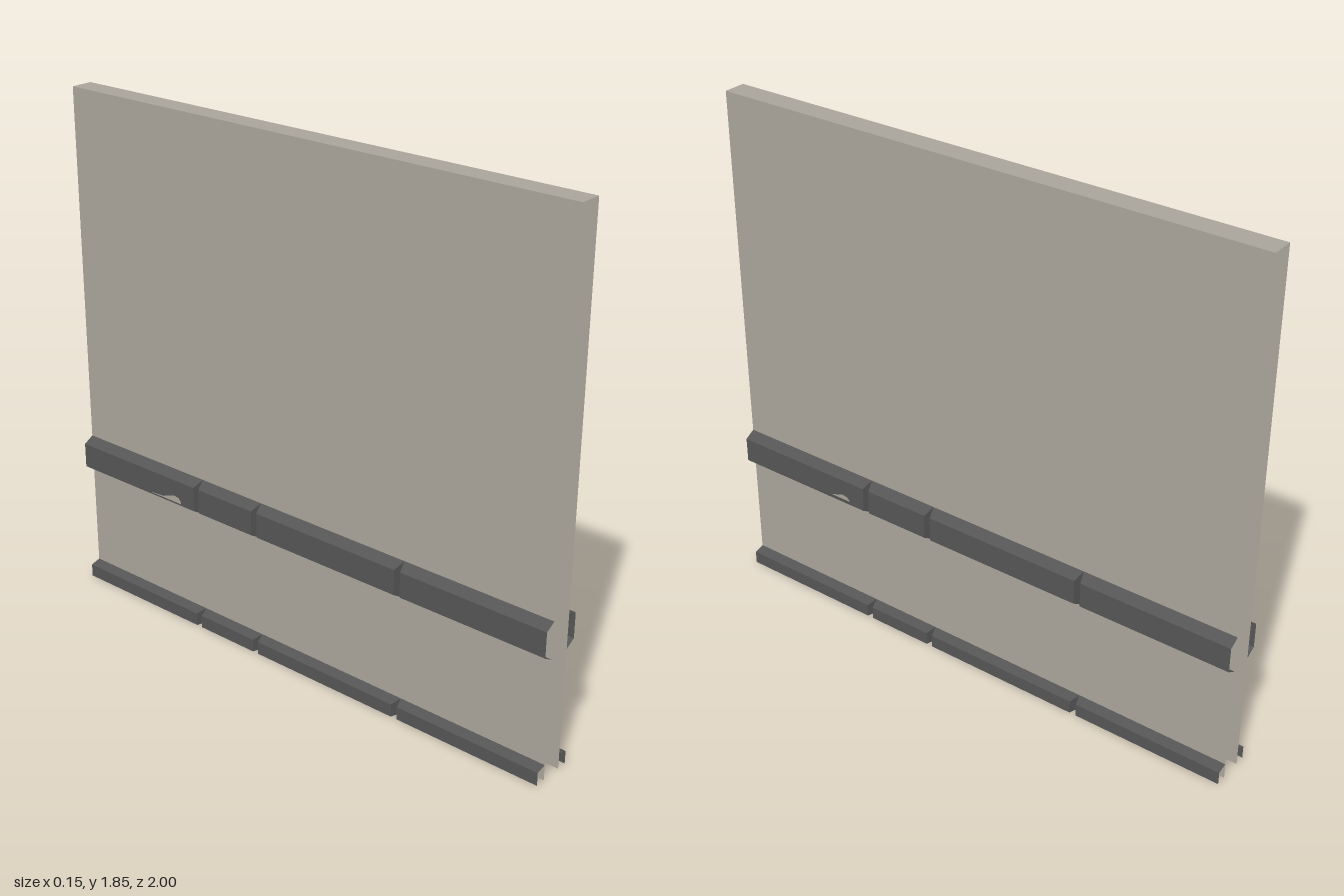
import * as THREE from 'three';

const panelMat = new THREE.MeshStandardMaterial({ name: 'beige panel', color: 0xaaa59b, side: THREE.DoubleSide });
const railMat = new THREE.MeshStandardMaterial({ name: 'dark rail', color: 0x555555, side: THREE.DoubleSide });

const HALF = 0.04, OUT = 0.077, HEIGHT = 1.85, GAP = 0.012;

// Flat-shaded geometry from convex polygons, corners counter-clockwise
function polygons(list) {
  const pos = [];
  for (const p of list) {
    for (let i = 1; i < p.length - 1; i++) pos.push(...p[0], ...p[i], ...p[i + 1]);
  }
  const g = new THREE.BufferGeometry();
  g.setAttribute('position', new THREE.Float32BufferAttribute(pos, 3));
  g.computeVertexNormals();
  return g;
}

function addMesh(parent, name, geometry, material) {
  const m = new THREE.Mesh(geometry, material);
  m.name = name;
  parent.add(m);
  return m;
}

// One hollow rail segment from z = a down to z = b; joints get slanted end faces.
// The profile runs from the inner top corner, around the outside, to the bottom.
function railSegment(parent, name, profile, a, b, chip) {
  const inset = (x) => GAP * (x - HALF) / (OUT - HALF);
  const front = ([x, y]) => [x, y, a < 1 ? a - inset(x) : a];
  const back = ([x, y]) => [x, y, b > -1 ? b + inset(x) : b];
  const faces = [];
  for (let i = 0; i < profile.length - 1; i++) {
    const p = profile[i], q = profile[i + 1];
    if (i === 1 && chip) continue;
    faces.push([front(p), front(q), back(q), back(p)]);
  }
  const ring = profile.length === 3 ? [...profile, [HALF, profile[2][1]]] : profile;
  if (a < 1) faces.push(ring.map(front).reverse());
  if (b > -1) faces.push(ring.map(back));
  addMesh(parent, name, polygons(faces), railMat);

  // Outer face with a chip broken out of its lower edge
  if (chip) {
    const [p, q] = [profile[1], profile[2]];
    const outline = [front(p), front(q)].map((c) => [c[2], c[1]])
      .concat(chip, [back(q), back(p)].map((c) => [c[2], c[1]]));
    const shape = new THREE.Shape(outline.map(([z, y]) => new THREE.Vector2(-z, y)));
    const g = new THREE.ShapeGeometry(shape).rotateY(Math.PI / 2).translate(OUT, 0, 0);
    addMesh(parent, name + 'ChippedFace', g, railMat);
  }
}

export function createModel() {
  const group = new THREE.Group();
  group.name = 'wallSection';

  // Hollow wall: two sides and a top, open at the ends and below
  const h = HALF, H = HEIGHT;
  addMesh(group, 'wallPanel', polygons([
    [[h, H, 1], [h, 0, 1], [h, 0, -1], [h, H, -1]],
    [[-h, H, -1], [-h, 0, -1], [-h, 0, 1], [-h, H, 1]],
    [[-h, H, 1], [h, H, 1], [h, H, -1], [-h, H, -1]],
  ]), panelMat);

  // Rails on both sides, turned half a revolution from each other
  const upper = [[h, 0.567], [OUT, 0.546], [OUT, 0.456], [h, 0.435]];
  const lower = [[h, 0.057], [OUT, 0.047], [OUT, 0]];
  const joints = [1, 0.44, 0.17, -0.44, -1];
  const chip = [[0.67, 0.456], [0.66, 0.463], [0.6, 0.467], [0.565, 0.48],
    [0.545, 0.486], [0.525, 0.482], [0.515, 0.472], [0.515, 0.456]];
  ['leftRails', 'rightRails'].forEach((name, side) => {
    const rails = new THREE.Group();
    rails.name = name;
    rails.rotation.y = side * Math.PI;
    for (let i = 0; i < 4; i++) {
      railSegment(rails, 'upperRail' + (i + 1), upper, joints[i], joints[i + 1], i === 0 ? chip : null);
      railSegment(rails, 'lowerRail' + (i + 1), lower, joints[i], joints[i + 1], null);
    }
    group.add(rails);
  });
  return group;
}
